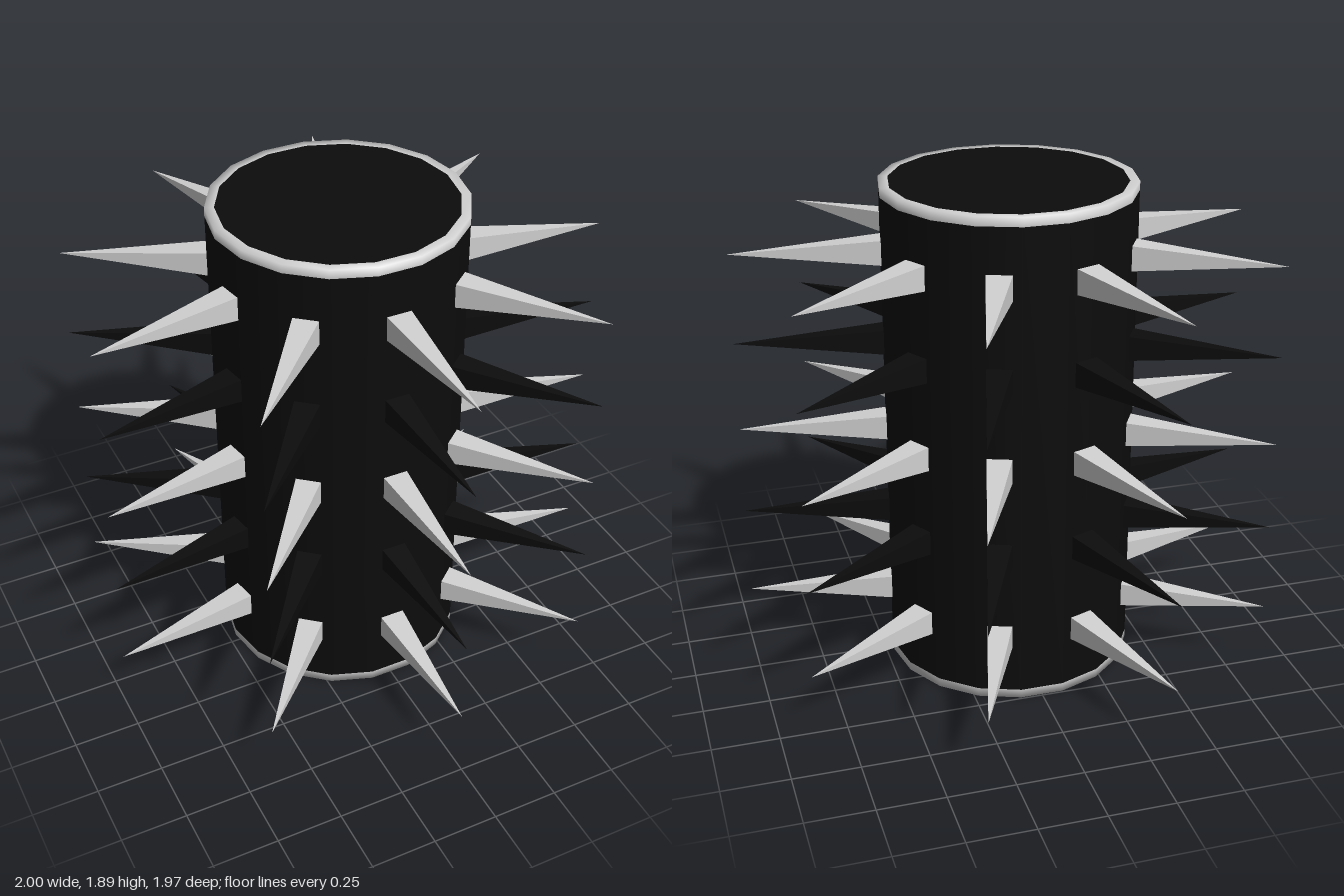
import * as THREE from 'three';

const SIDES = 18;
const RADIUS = 0.47;
const INNER = 0.435;
const HEIGHT = 1.89;
const RIM = 0.034;
const TURN = Math.PI / SIDES; // puts a flat side at the front

export function createModel() {
  const black = new THREE.MeshStandardMaterial({ color: 0x0c0c0c, side: THREE.DoubleSide });
  black.name = 'black';
  const silver = new THREE.MeshStandardMaterial({ color: 0xd0d0d0, side: THREE.DoubleSide });
  silver.name = 'silver';
  const spikeBlack = black;

  const model = new THREE.Group();
  model.name = 'spikedCuff';
  const body = new THREE.Group();
  body.name = 'cuff';
  body.position.z = -0.03;
  model.add(body);

  const add = (name, geometry, material, parent = body) => {
    const mesh = new THREE.Mesh(geometry, material);
    mesh.name = name;
    parent.add(mesh);
    return mesh;
  };
  const ring = (points) => new THREE.LatheGeometry(
    points.map(([r, y]) => new THREE.Vector2(r, y)), SIDES, TURN, Math.PI * 2);

  // Sleeve, open at the bottom and closed at the top
  add('sleeve', ring([[RADIUS, RIM], [RADIUS, HEIGHT - RIM]]), black);
  const cap = add('topCap', new THREE.CircleGeometry(INNER, SIDES), black);
  cap.rotation.x = -Math.PI / 2;
  cap.position.y = HEIGHT;

  // Rims with softly shaded edges
  add('bottomRim', ring([[INNER, 0], [RADIUS, 0], [RADIUS, RIM]]), silver);
  add('topRim', ring([[RADIUS, HEIGHT - RIM], [RADIUS, HEIGHT], [INNER, HEIGHT]]), silver);

  // Four-sided spike pointing along +z, its base just inside the sleeve
  const base = 0.44, tip = 1.015;
  const spike = new THREE.ConeGeometry(0.0485 * Math.SQRT2, tip - base, 4)
    .rotateY(Math.PI / 4)
    .rotateX(Math.PI / 2)
    .translate(0, 0, (base + tip) / 2)
    .toNonIndexed();
  spike.computeVertexNormals();

  // Five rows of nine spikes, alternating colours
  for (let row = 0; row < 5; row++) {
    const group = new THREE.Group();
    group.name = 'spikeRow';
    group.position.y = 0.264 + row * 0.344;
    body.add(group);
    for (let i = 0; i < 9; i++) {
      const mesh = add('spike', spike, row % 2 ? spikeBlack : silver, group);
      mesh.rotation.y = (i * Math.PI * 2) / 9;
    }
  }
  return model;
}
